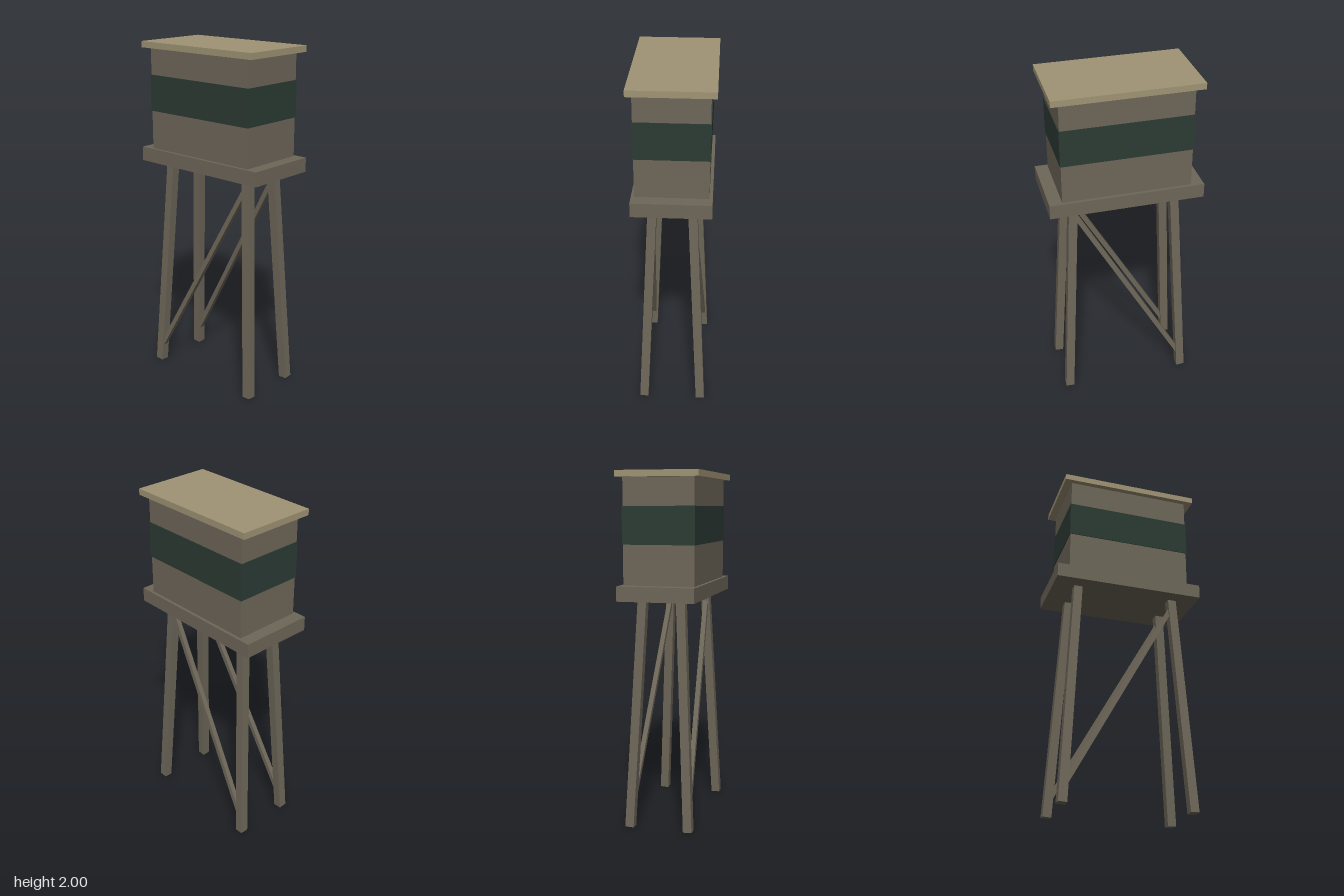
import * as THREE from 'three';

const material = (name, color) => {
  const m = new THREE.MeshStandardMaterial({ color });
  m.name = name;
  return m;
};

export function createModel() {
  const tower = new THREE.Group();
  tower.name = 'watchtower';
  const wood = material('weathered wood', 0x6e6759);
  const roofing = material('tan roof', 0xa09475);
  const glass = material('dark green glass', 0x2c3b34);

  // Upright block between two heights, centred on x and z
  const block = (name, width, depth, y0, y1, mat) => {
    const mesh = new THREE.Mesh(new THREE.BoxGeometry(width, y1 - y0, depth), mat);
    mesh.name = name;
    mesh.position.y = (y0 + y1) / 2;
    tower.add(mesh);
  };

  // Square beam running between two points
  const up = new THREE.Vector3(0, 1, 0);
  const beam = (name, a, b, size) => {
    const along = b.clone().sub(a);
    const mesh = new THREE.Mesh(new THREE.BoxGeometry(size, along.length(), size), wood);
    mesh.name = name;
    mesh.position.copy(a).add(b).multiplyScalar(0.5);
    mesh.quaternion.setFromUnitVectors(up, along.normalize());
    tower.add(mesh);
  };

  // Cabin on its platform, with a window band and a flat roof
  block('platform', 0.874, 0.436, 1.3, 1.382, wood);
  block('cabin', 0.728, 0.4, 1.382, 1.965, wood);
  block('windowBand', 0.736, 0.408, 1.604, 1.812, glass);
  block('roof', 0.818, 0.461, 1.965, 2, roofing);

  // Splayed legs, and one diagonal brace on the front and back
  for (const side of [1, -1]) {
    const face = side > 0 ? 'front' : 'back';
    for (const x of [1, -1]) {
      beam(`${face}${x > 0 ? 'Left' : 'Right'}Leg`,
        new THREE.Vector3(0.364 * x, 0.003, 0.17 * side),
        new THREE.Vector3(0.29 * x, 1.31, 0.109 * side), 0.05);
    }
    beam(`${face}Brace`,
      new THREE.Vector3(-0.358, 0.09, 0.166 * side),
      new THREE.Vector3(0.292, 1.255, 0.112 * side), 0.028);
  }
  return tower;
}
